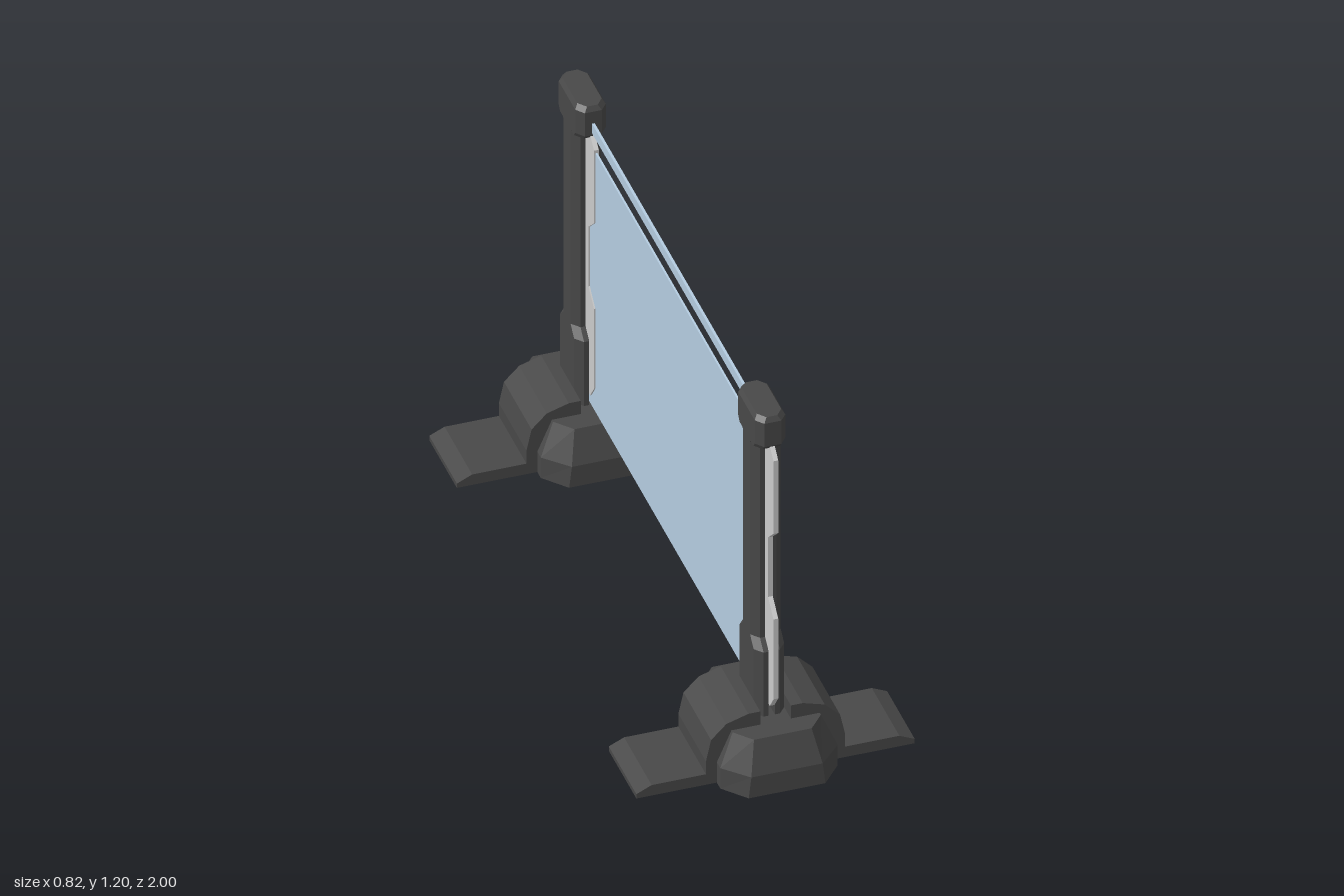
import * as THREE from 'three';

const mat = (color) => new THREE.MeshStandardMaterial({ color, flatShading: true });

// Closed solid through matching convex rings; each ring is { y, pts: [[x, z], ...] }
function loft(rings) {
  const n = rings[0].pts.length, last = (rings.length - 1) * n;
  const pos = [], idx = [];
  rings.forEach((r) => r.pts.forEach(([x, z]) => pos.push(x, r.y, z)));
  for (let k = 0; k < last; k += n) {
    for (let i = 0; i < n; i++) {
      const a = k + i, b = k + (i + 1) % n;
      idx.push(a, a + n, b, b, a + n, b + n);
    }
  }
  for (let i = 1; i < n - 1; i++) {
    idx.push(0, i, i + 1, last, last + i + 1, last + i);
  }
  const g = new THREE.BufferGeometry();
  g.setAttribute('position', new THREE.Float32BufferAttribute(pos, 3));
  g.setIndex(idx);
  const flat = g.toNonIndexed();
  flat.computeVertexNormals();
  return flat;
}

// Outline extruded symmetrically about z = 0
function slab(points, depth) {
  const shape = new THREE.Shape(points.map(([x, y]) => new THREE.Vector2(x, y)));
  return new THREE.ExtrudeGeometry(shape, { depth, bevelEnabled: false }).translate(0, 0, -depth / 2);
}

// Octagon: half width w, half length l, end half width e, side half length c
const octagon = (w, l, e, c) => [
  [w, -c], [w, c], [e, l], [-e, l], [-w, c], [-w, -c], [-e, -l], [e, -l],
];

function addMesh(parent, name, geometry, material) {
  const m = new THREE.Mesh(geometry, material);
  m.name = name;
  parent.add(m);
  return m;
}

export function createModel() {
  const model = new THREE.Group();
  model.name = 'barrier';
  const dark = mat(0x484848), grey = mat(0xcccccc), blue = mat(0xb4cce0);

  const hubGeo = loft([
    { y: 0, pts: octagon(0.173, 0.22, 0.113, 0.15) },
    { y: 0.07, pts: octagon(0.173, 0.22, 0.105, 0.15) },
    { y: 0.17, pts: octagon(0.13, 0.183, 0.085, 0.13) },
  ]);

  // Half of the arched cover, leaving a slot for the post
  const archGeo = slab([
    [0.045, 0], [0.205, 0], [0.205, 0.08], [0.19, 0.15],
    [0.145, 0.195], [0.08, 0.215], [0.045, 0.215],
  ], 0.24);

  const footGeo = slab([
    [0.19, 0], [0.41, 0], [0.41, 0.015], [0.365, 0.036], [0.19, 0.036],
  ], 0.24);

  // One side of the split post: [height, half depth]
  const gap = 0.009;
  const postGeo = loft([
    [0.16, 0.087], [0.39, 0.087], [0.42, 0.056], [1.085, 0.056], [1.11, 0.08],
  ].map(([y, d]) => ({
    y,
    pts: [[gap, -d], [0.024, -d], [0.045, 0.025 - d], [0.045, d - 0.025], [0.024, d], [gap, d]],
  })));

  const capGeo = loft([
    [1.09, 0.085, 0.045], [1.105, 0.097, 0.045], [1.185, 0.097, 0.045], [1.2, 0.088, 0.036],
  ].map(([y, d, w]) => ({ y, pts: octagon(w, d, w - 0.02, d - 0.025) })));

  // Notched plate running through the post slot
  const finEdge = [
    [0.09, 0.205], [0.123, 0.25], [0.123, 0.525], [0.075, 0.57],
    [0.075, 0.775], [0.123, 0.82], [0.123, 1.07], [0.09, 1.1],
  ];
  const finGeo = slab(
    [...finEdge, ...finEdge.map(([z, y]) => [-z, y]).reverse()], 0.014,
  ).rotateY(-Math.PI / 2);

  for (const end of [1, -1]) {
    const stand = new THREE.Group();
    stand.name = end > 0 ? 'frontStand' : 'backStand';
    stand.position.z = 0.78 * end;
    model.add(stand);
    addMesh(stand, 'baseHub', hubGeo, dark);
    addMesh(stand, 'postCap', capGeo, dark);
    addMesh(stand, 'finPlate', finGeo, grey);

    for (const side of ['left', 'right']) {
      const half = new THREE.Group();
      half.name = side + 'Half';
      if (side === 'right') half.rotation.y = Math.PI;
      stand.add(half);
      addMesh(half, 'baseArch', archGeo, dark);
      addMesh(half, 'foot', footGeo, dark);
      addMesh(half, 'postHalf', postGeo, dark);
    }
  }

  // Thin screen and the rail above it
  addMesh(model, 'screenPanel', new THREE.BoxGeometry(0.006, 0.89, 1.45), blue).position.y = 0.615;
  addMesh(model, 'topRail', new THREE.BoxGeometry(0.008, 0.033, 1.4), blue).position.y = 1.128;

  return model;
}
